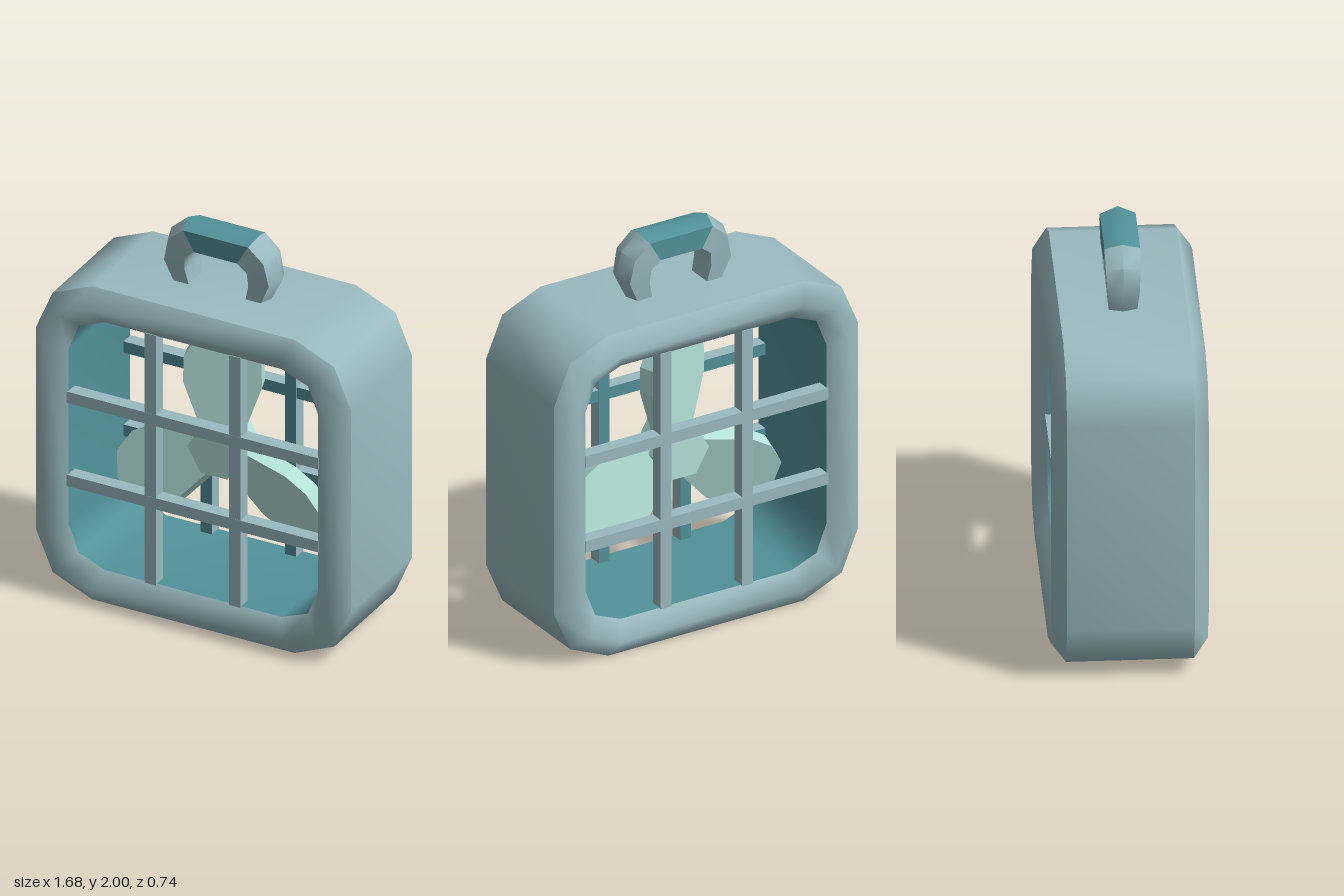
import * as THREE from 'three';
import { toCreasedNormals } from 'three/addons/utils/BufferGeometryUtils.js';

const material = (color) => new THREE.MeshStandardMaterial({ color });

// Skin closed cross-sections (arrays of [x, y, z]) in sequence
function loft(rings) {
  const n = rings[0].length, index = [];
  for (let k = 0; k < rings.length - 1; k++) {
    for (let j = 0; j < n; j++) {
      const a = k * n + j, b = k * n + (j + 1) % n;
      index.push(a, b, b + n, a, b + n, a + n);
    }
  }
  const g = new THREE.BufferGeometry();
  g.setAttribute('position', new THREE.Float32BufferAttribute(rings.flat(2), 3));
  g.setIndex(index);
  g.computeVertexNormals();
  return g;
}

export function createModel() {
  const model = new THREE.Group();
  const body = material(0x9abac0), teal = material(0x53929a), pale = material(0xb5e2db);
  const CY = 0.84;

  function add(name, geometry, mat, parent = model) {
    const mesh = new THREE.Mesh(geometry, mat);
    mesh.name = name;
    parent.add(mesh);
    return mesh;
  }

  // Rounded square section: half side, chamfer point, end of straight edge
  function section(half, corner, straight, z) {
    const points = [];
    for (let q = 0; q < 4; q++) {
      const c = [1, 0, -1, 0][q], s = [0, 1, 0, -1][q];
      for (const [x, y] of [[half, -straight], [half, straight], [corner, corner]]) {
        points.push([x * c - y * s, CY + x * s + y * c, z]);
      }
    }
    return points;
  }
  const outer = (z) => section(0.84, 0.75, 0.54, z);
  const ridge = (z) => section(0.75, 0.68, 0.505, z);
  const inner = (z) => section(0.665, 0.61, 0.47, z);

  // Housing walls and rounded rims
  add('housingWall', loft([outer(-0.3), outer(0.3)]), body);
  add('housingLining', loft([inner(0.3), inner(-0.3)]), teal);
  add('frontRim', loft([outer(0.3), ridge(0.37), inner(0.3)]), body);
  add('backRim', loft([inner(-0.3), ridge(-0.37), outer(-0.3)]), body);

  // Grilles front and back, teal on the faces turned inwards
  const barMaterials = [body, body, body, body, body, teal];
  for (const name of ['frontGrille', 'backGrille']) {
    const grille = new THREE.Group();
    grille.name = name;
    if (name === 'backGrille') grille.rotation.y = Math.PI;
    for (const side of [-1, 1]) {
      const upright = add('verticalBar', new THREE.BoxGeometry(0.06, 1.34, 0.07), barMaterials, grille);
      upright.position.set(side * 0.225, CY, 0.274);
      const cross = add('horizontalBar', new THREE.BoxGeometry(1.34, 0.06, 0.07), barMaterials, grille);
      cross.position.set(0, 0.832 + side * 0.223, 0.275);
    }
    model.add(grille);
  }

  // Fan: hexagonal hub with three pitched blades
  const fan = new THREE.Group();
  fan.name = 'fan';
  fan.position.y = 0.83;
  const hub = new THREE.CylinderGeometry(0.142, 0.142, 0.2, 6).toNonIndexed();
  hub.rotateX(Math.PI / 2).rotateZ(Math.PI / 6);
  hub.computeVertexNormals();
  add('hub', hub, pale, fan);

  const half = [[0.08, 0], [0.105, 0.1], [0.188, 0.34], [0.185, 0.47], [0.12, 0.585]];
  const outline = [...half, [0, 0.625], ...half.map(([x, y]) => [-x, y]).reverse()];
  const blade = new THREE.ExtrudeGeometry(
    new THREE.Shape(outline.map(([x, y]) => new THREE.Vector2(x, y))),
    { depth: 0.08, bevelEnabled: false });
  blade.translate(0, 0, -0.04).rotateY(0.32);
  for (let i = 0; i < 3; i++) {
    add('blade', blade, pale, fan).rotation.z = i * Math.PI * 2 / 3;
  }
  model.add(fan);

  // Carrying handle: outer x, y, inner x, y, half depth at each station
  const arm = [
    [0.24, 1.65, 0.145, 1.65, 0.065],
    [0.31, 1.79, 0.17, 1.76, 0.075],
    [0.28, 1.92, 0.165, 1.83, 0.082],
    [0.19, 2.0, 0.115, 1.87, 0.084],
  ];
  const stations = [...arm, ...arm.map(([a, b, c, d, e]) => [-a, b, -c, d, e]).reverse()];
  const handleRings = stations.map(([ox, oy, ix, iy, w]) => {
    const sx = ox + (ix - ox) * 0.22, sy = oy + (iy - oy) * 0.22;
    return [[ox, oy, 0], [sx, sy, -w], [ix, iy, -w], [ix, iy, w], [sx, sy, w]];
  });
  const handlePart = (from, to) => toCreasedNormals(loft(handleRings.slice(from, to + 1)), 0.95);
  add('handleLeftArm', handlePart(0, 3), body);
  add('handleGrip', handlePart(3, 4), teal);
  add('handleRightArm', handlePart(4, 7), body);

  return model;
}
